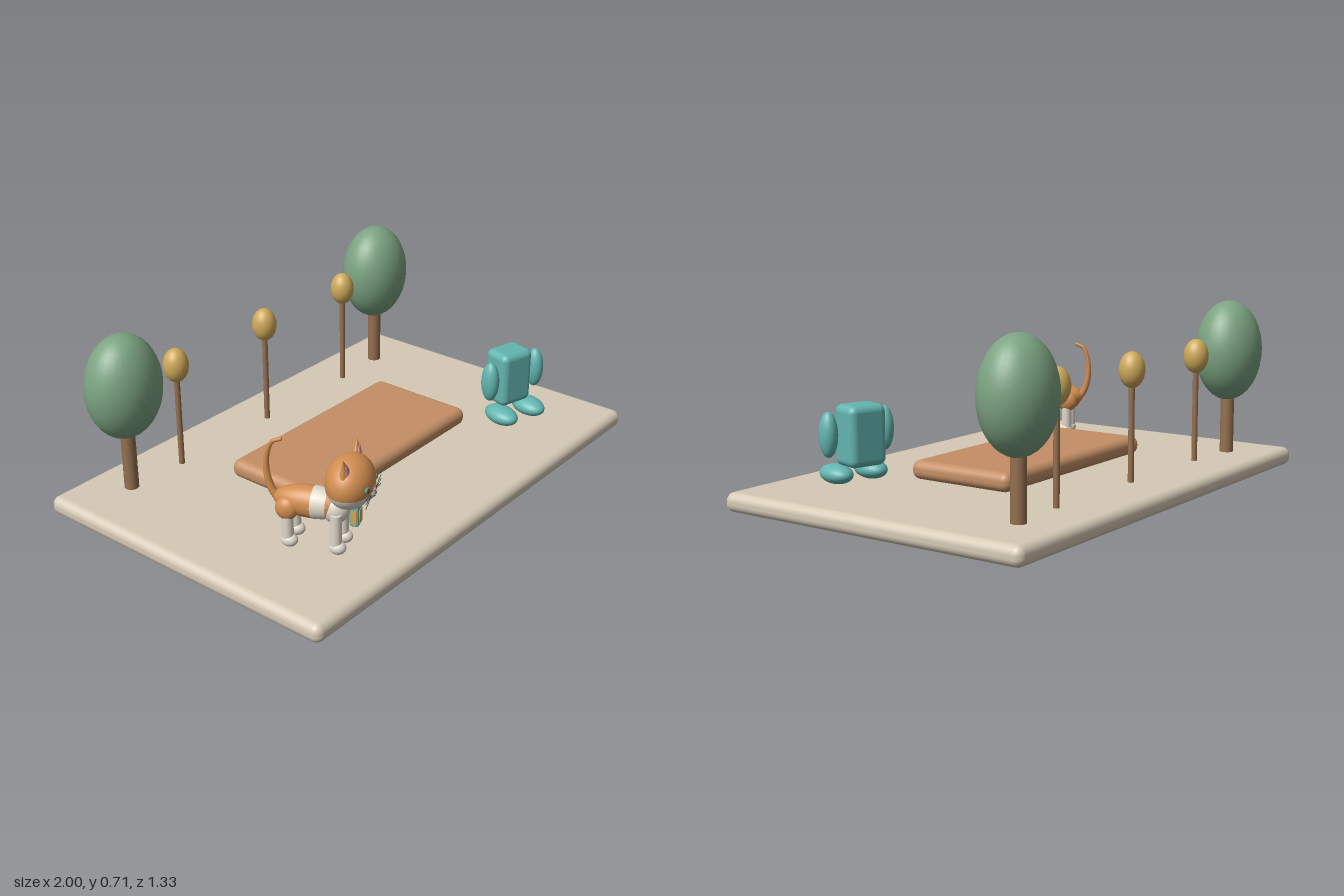
import * as THREE from 'three';
import { RoundedBoxGeometry } from 'three/addons/geometries/RoundedBoxGeometry.js';

const mat = (name, color) => {
  const m = new THREE.MeshStandardMaterial({ color });
  m.name = name;
  return m;
};

export function createModel() {
  const stone = mat('stone', 0xd6cab6), clay = mat('clay', 0xc48f66), bark = mat('bark', 0x94704f);
  const leaf = mat('leaf', 0x7ba381), gold = mat('gold', 0xcfa95a), teal = mat('teal', 0x63b5b0);
  const orange = mat('orange fur', 0xd18d4f), cream = mat('cream fur', 0xe0d8cb);
  const pink = mat('pink', 0xc97f90), dark = mat('dark', 0x35453f);

  const add = (parent, name, geo, material, x = 0, y = 0, z = 0) => {
    const m = new THREE.Mesh(geo, material);
    m.name = name;
    m.position.set(x, y, z);
    parent.add(m);
    return m;
  };
  const blob = (parent, name, material, p, r, ...arc) => {
    const m = add(parent, name, new THREE.SphereGeometry(1, 32, 20, ...arc), material, ...p);
    m.scale.set(...r);
    return m;
  };
  const group = (parent, name, x = 0, y = 0, z = 0, turn = 0) => {
    const g = new THREE.Group();
    g.name = name;
    g.position.set(x, y, z);
    g.rotation.y = turn;
    parent.add(g);
    return g;
  };
  const post = (r, h) => new THREE.CylinderGeometry(r, r, h, 20);

  const root = new THREE.Group();
  root.name = 'courtyard';

  // Ground slab and raised platform
  add(root, 'base', new RoundedBoxGeometry(2, 0.075, 1.33, 5, 0.033), stone, 0, 0.0375, 0);
  add(root, 'platform', new RoundedBoxGeometry(0.935, 0.074, 0.455, 5, 0.033), clay, 0, 0.12, 0);

  // Trees
  for (const s of [-1, 1]) {
    const tree = group(root, 'tree', s * 0.75, 0, -0.48);
    add(tree, 'trunk', post(0.028, 0.27), bark, 0, 0.205, 0);
    blob(tree, 'crown', leaf, [0, 0.503, 0], [0.157, 0.207, 0.132]);
  }

  // Lamps
  for (const x of [-0.5, 0, 0.5]) {
    const lamp = group(root, 'lamp', x, 0, -0.462);
    add(lamp, 'lampPost', post(0.0115, 0.37), bark, 0, 0.26, 0);
    blob(lamp, 'lampGlobe', gold, [0, 0.502, 0], [0.05, 0.069, 0.05]);
  }

  // Headless teal robot, turned toward the middle
  const robot = group(root, 'robot', 0.642, 0, 0.312, -0.26);
  add(robot, 'torso', new RoundedBoxGeometry(0.157, 0.23, 0.127, 5, 0.028), teal, 0, 0.273, 0);
  for (const s of [-1, 1]) {
    blob(robot, 'arm', teal, [s * 0.122, 0.281, 0.026], [0.034, 0.085, 0.04]);
    blob(robot, 'foot', teal, [s * 0.075, 0.127, 0.052], [0.053, 0.037, 0.083]);
  }

  // Cat
  const cat = group(root, 'cat', -0.63, 0, 0.33, 0.38);
  blob(cat, 'body', orange, [0, 0.258, -0.005], [0.056, 0.06, 0.14]);
  const band = blob(cat, 'bodyBand', cream, [0, 0.258, -0.005], [0.057, 0.142, 0.061],
    0, Math.PI * 2, 1.1, 0.4);
  band.rotation.x = Math.PI / 2;
  blob(cat, 'chest', cream, [0, 0.248, 0.085], [0.05, 0.056, 0.052]);

  for (const s of [-1, 1]) {
    for (const z of [0.098, -0.08]) {
      add(cat, 'leg', post(0.021, 0.13), cream, s * 0.04, 0.18, z);
      blob(cat, 'paw', cream, [s * 0.04, 0.112, z + 0.006], [0.026, 0.025, 0.031]);
    }
    blob(cat, 'thigh', orange, [s * 0.038, 0.238, -0.083], [0.03, 0.044, 0.042]);
  }

  // Tail: a tube narrowed toward the tip
  const path = new THREE.CatmullRomCurve3([[0, 0.235, -0.11], [0, 0.28, -0.148], [0, 0.35, -0.168],
    [0, 0.425, -0.165], [0, 0.473, -0.145], [0, 0.488, -0.115]].map((p) => new THREE.Vector3(...p)));
  const tailGeo = new THREE.TubeGeometry(path, 36, 0.016, 12);
  const pos = tailGeo.attributes.position, v = new THREE.Vector3();
  for (let i = 0; i < pos.count; i++) {
    const t = Math.floor(i / 13) / 36;
    v.fromBufferAttribute(pos, i).lerp(path.getPointAt(t), 0.55 * t);
    pos.setXYZ(i, v.x, v.y, v.z);
  }
  add(cat, 'tail', tailGeo, orange);
  blob(cat, 'tailTip', orange, [0, 0.488, -0.115], [0.0072, 0.0072, 0.0072]);

  // Head: orange cap over a cream jaw, with a stripe over the crown
  const head = group(cat, 'head', 0.005, 0.363, 0.137);
  const R = [0.112, 0.097, 0.087], split = Math.PI * 0.59;
  blob(head, 'headCap', orange, [0, 0, 0], R, 0, Math.PI * 2, 0, split);
  blob(head, 'jaw', cream, [0, 0, 0], R, 0, Math.PI * 2, split, Math.PI - split);
  const stripeGeo = new THREE.SphereGeometry(1, 40, 6, Math.PI / 2, Math.PI, Math.PI / 2 - 0.19, 0.38);
  stripeGeo.rotateZ(-Math.PI / 2).scale(R[0] * 1.012, R[1] * 1.012, R[2] * 1.012);
  add(head, 'crownStripe', stripeGeo, cream);
  blob(head, 'muzzle', cream, [0, -0.034, 0.066], [0.037, 0.024, 0.024]);
  blob(head, 'nose', pink, [0, -0.018, 0.088], [0.009, 0.006, 0.006]);

  for (const s of [-1, 1]) {
    const ear = group(head, 'ear', s * 0.074, 0.088, 0);
    ear.rotation.z = -s * 0.25;
    const outer = add(ear, 'earOuter', new THREE.ConeGeometry(0.032, 0.072, 20), orange);
    outer.scale.z = 0.6;
    const inner = add(ear, 'earInner', new THREE.ConeGeometry(0.022, 0.054, 20), pink, 0, -0.004, 0.009);
    inner.scale.z = 0.6;

    // Eyes
    blob(head, 'eye', teal, [s * 0.052, 0.002, 0.075], [0.014, 0.012, 0.006]).rotation.y = s * 0.45;
    blob(head, 'pupil', dark, [s * 0.053, 0.002, 0.079], [0.006, 0.01, 0.004]).rotation.y = s * 0.45;

    // Whiskers and mouth
    for (const k of [-1, 0, 1]) {
      const w = add(head, 'whisker', new THREE.CylinderGeometry(0.0013, 0.0013, 0.065, 6), dark,
        s * 0.06, -0.03 + k * 0.01, 0.083);
      w.rotation.z = Math.PI / 2 + s * k * 0.22;
    }
    const mouth = add(head, 'mouth', new THREE.TorusGeometry(0.008, 0.0015, 6, 12, Math.PI), dark,
      s * 0.008, -0.032, 0.09);
    mouth.rotation.z = Math.PI;
  }

  // Lantern hanging at the cat's left side
  const lantern = group(cat, 'lantern', 0.08, 0.188, 0.134);
  add(lantern, 'lanternCase', new RoundedBoxGeometry(0.052, 0.088, 0.034, 3, 0.007), teal);
  for (const s of [-1, 1]) {
    add(lantern, 'lanternPane', new THREE.BoxGeometry(0.036, 0.056, 0.004), gold, 0, -0.004, s * 0.0175);
    add(lantern, 'lanternSidePane', new THREE.BoxGeometry(0.004, 0.056, 0.022), gold, s * 0.0265, -0.004, 0);
  }
  add(lantern, 'lanternHandle', new THREE.TorusGeometry(0.02, 0.004, 8, 20, Math.PI), bark, 0, 0.042, 0);
  const strap = new THREE.QuadraticBezierCurve3(new THREE.Vector3(-0.04, 0.075, -0.04),
    new THREE.Vector3(-0.01, 0.1, 0), new THREE.Vector3(0, 0.06, 0));
  add(lantern, 'strap', new THREE.TubeGeometry(strap, 12, 0.004, 8), bark);

  return root;
}
